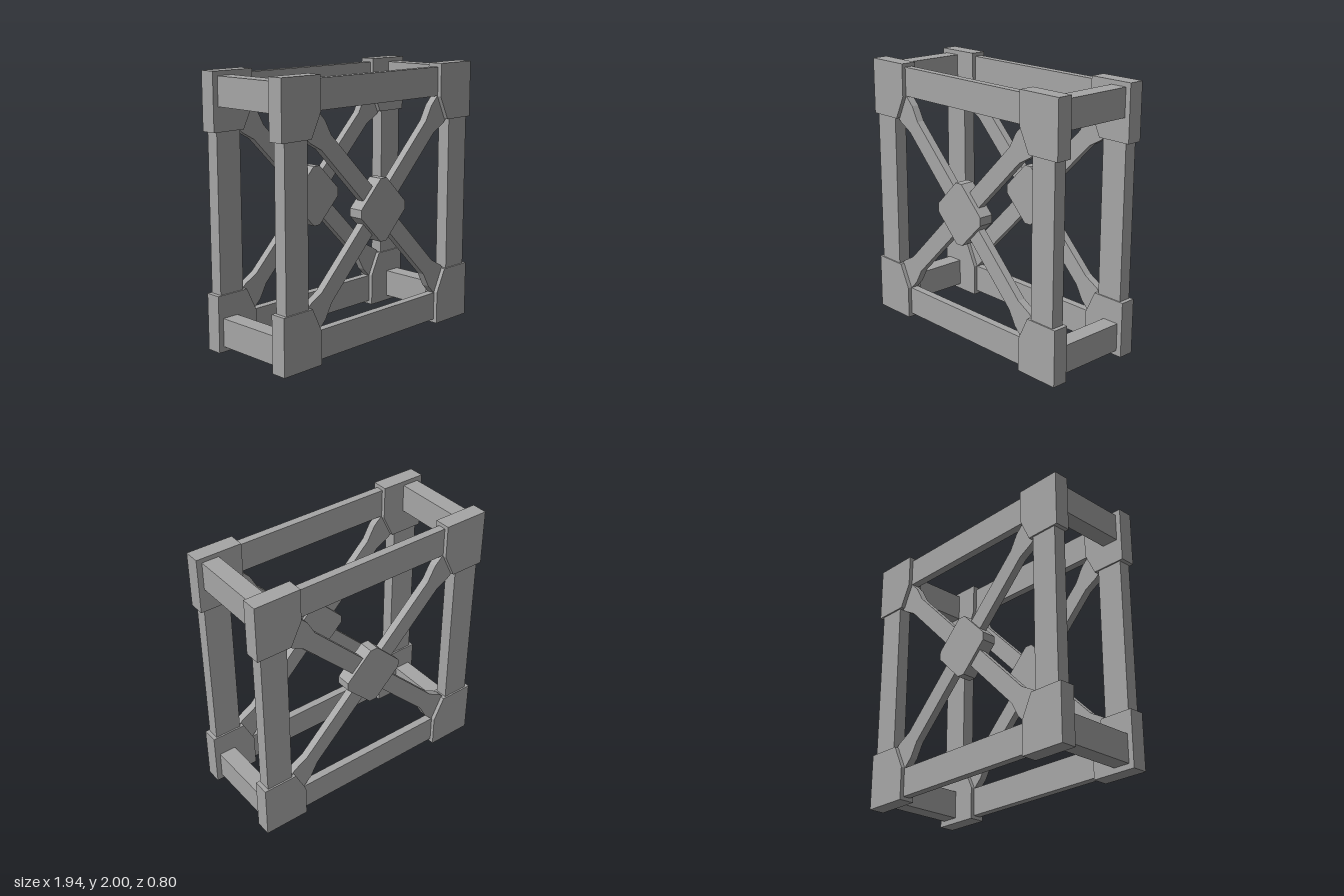
import * as THREE from 'three';

const steel = new THREE.MeshStandardMaterial({ color: 0xa6a6a6 });
steel.name = 'grey steel';

// Box given by its limits on each axis
function beam(name, x0, x1, y0, y1, z0, z1) {
  const mesh = new THREE.Mesh(new THREE.BoxGeometry(x1 - x0, y1 - y0, z1 - z0), steel);
  mesh.position.set((x0 + x1) / 2, (y0 + y1) / 2, (z0 + z1) / 2);
  mesh.name = name;
  return mesh;
}

// Flat outline extruded to a depth, centred on z
function plate(name, points, depth, z = 0) {
  const shape = new THREE.Shape(points.map(([x, y]) => new THREE.Vector2(x, y)));
  const geometry = new THREE.ExtrudeGeometry(shape, { depth, bevelEnabled: false });
  geometry.translate(0, 0, z - depth / 2);
  const mesh = new THREE.Mesh(geometry, steel);
  mesh.name = name;
  return mesh;
}

// One square frame with cross bracing, centred on the origin
function createFrame(name) {
  const frame = new THREE.Group();
  frame.name = name;

  for (const s of [-1, 1]) {
    // Rails and posts
    const y = s * 0.866;
    frame.add(beam(s > 0 ? 'topRail' : 'bottomRail', -0.66, 0.66, y - 0.107, y + 0.107, -0.03, 0.03));
    const x = s * 0.836;
    frame.add(beam(s > 0 ? 'leftPost' : 'rightPost', x - 0.103, x + 0.103, -0.62, 0.62, -0.048, 0.05));

    // Corner blocks with the inner corner cut off
    for (const t of [-1, 1]) {
      const outline = [[0.62, 1], [0.62, 0.755], [0.705, 0.58], [0.97, 0.58], [0.97, 1]];
      frame.add(plate('cornerBlock', outline.map(([px, py]) => [px * s, py * t]), 0.12));
    }

    // Diagonal brace, flared at both ends
    const half = [[-1.0, 0.1], [-0.88, 0.1], [-0.762, 0.066], [0.762, 0.066], [0.88, 0.1], [1.0, 0.1]];
    const outline = [...half, ...half.map(([u, v]) => [-u, -v])];
    const brace = plate('diagonalBrace', outline, 0.058);
    brace.rotation.z = s * Math.PI / 4;
    frame.add(brace);
  }

  // Eight-sided plate where the braces cross
  const a = 0.23, b = 0.03;
  frame.add(plate('centreHub',
    [[a, -b], [a, b], [b, a], [-b, a], [-a, b], [-a, -b], [-b, -a], [b, -a]], 0.11, 0.006));
  return frame;
}

export function createModel() {
  const model = new THREE.Group();
  model.name = 'crossBracedFrame';

  for (const [name, z] of [['frontFrame', 0.341], ['backFrame', -0.341]]) {
    const frame = createFrame(name);
    frame.position.set(0, 1, z);
    model.add(frame);
  }

  // Beams joining the two frames at the corners
  for (const s of [-1, 1]) {
    const x = s * 0.864;
    model.add(beam('upperCrossBeam', x - 0.065, x + 0.065, 1.757, 1.967, -0.3, 0.3));
    model.add(beam('lowerCrossBeam', x - 0.065, x + 0.065, 0.04, 0.25, -0.3, 0.3));
  }
  return model;
}
